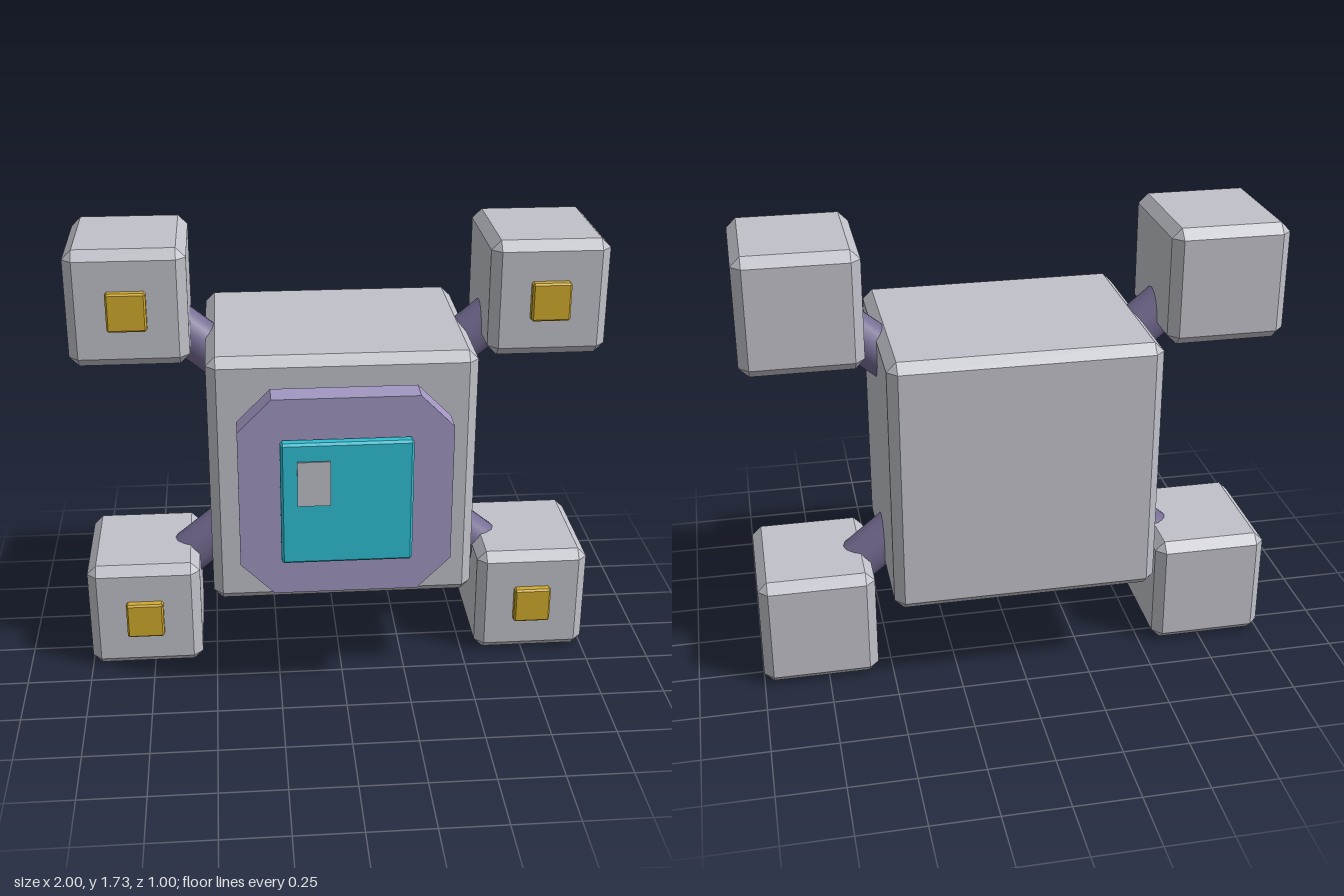
import * as THREE from 'three';
import { ConvexGeometry } from 'three/addons/geometries/ConvexGeometry.js';

const material = (name, color) => {
  const m = new THREE.MeshStandardMaterial({ color });
  m.name = name;
  return m;
};

// Box with every edge and corner cut flat
function chamferBox(w, h, d, c) {
  const points = [];
  for (const x of [-1, 1]) for (const y of [-1, 1]) for (const z of [-1, 1]) {
    const a = w / 2, b = h / 2, e = d / 2;
    points.push(
      new THREE.Vector3(x * a, y * (b - c), z * (e - c)),
      new THREE.Vector3(x * (a - c), y * b, z * (e - c)),
      new THREE.Vector3(x * (a - c), y * (b - c), z * e)
    );
  }
  return new ConvexGeometry(points);
}

// Octagonal plate: a square with cut corners
function octagonPlate(half, cut, depth) {
  const i = half - cut;
  const outline = [[half, -i], [half, i], [i, half], [-i, half], [-half, i], [-half, -i], [-i, -half], [i, -half]];
  const shape = new THREE.Shape(outline.map(([x, y]) => new THREE.Vector2(x, y)));
  return new THREE.ExtrudeGeometry(shape, { depth, bevelEnabled: false });
}

export function createModel() {
  const model = new THREE.Group();
  model.name = 'fourPodRobot';
  const grey = material('hull grey', 0xc0c1c9);
  const purple = material('panel purple', 0xa296c2);
  const darkPurple = material('strut purple', 0x746b92);
  const cyan = material('screen cyan', 0x2ebfd3);
  const gold = material('button gold', 0xd0aa2c);

  const add = (name, geometry, mat, x, y, z) => {
    const mesh = new THREE.Mesh(geometry, mat);
    mesh.name = name;
    mesh.position.set(x, y, z);
    model.add(mesh);
    return mesh;
  };

  const midY = 0.867, midZ = -0.1;

  // Central hull
  add('body', chamferBox(1, 1, 0.8, 0.036), grey, 0, midY, midZ);

  // Front panel, screen and its highlight, each floating just ahead of the last
  add('frontPanel', octagonPlate(0.394, 0.125, 0.103), purple, 0, midY, 0.327);
  add('screen', chamferBox(0.484, 0.484, 0.046, 0.009), cyan, 0, midY, 0.46);
  add('screenHighlight', new THREE.BoxGeometry(0.12, 0.175, 0.007), grey, -0.122, 0.958, 0.499);

  // Four corner pods with struts and front buttons
  const podGeometry = chamferBox(0.444, 0.444, 0.506, 0.036);
  const buttonGeometry = chamferBox(0.146, 0.146, 0.04, 0.007);
  const strutStart = new THREE.Vector3(0.35, 0.287, 0);
  const strutEnd = new THREE.Vector3(0.778, 0.638, 0);
  const strutGeometry = new THREE.CylinderGeometry(0.088, 0.088, strutStart.distanceTo(strutEnd), 16);
  for (const sy of [1, -1]) for (const sx of [1, -1]) {
    const label = (sy > 0 ? 'upper' : 'lower') + (sx > 0 ? 'Left' : 'Right');
    const x = sx * 0.778, y = midY + sy * 0.645;
    add(label + 'Pod', podGeometry, grey, x, y, -0.099);
    add(label + 'Button', buttonGeometry, gold, x, y, 0.166);

    const side = new THREE.Vector3(sx, sy, 1);
    const a = strutStart.clone().multiply(side), b = strutEnd.clone().multiply(side);
    const middle = a.clone().add(b).multiplyScalar(0.5);
    const strut = add(label + 'Strut', strutGeometry, darkPurple, middle.x, midY + middle.y, midZ);
    strut.quaternion.setFromUnitVectors(new THREE.Vector3(0, 1, 0), b.sub(a).normalize());
  }
  return model;
}
